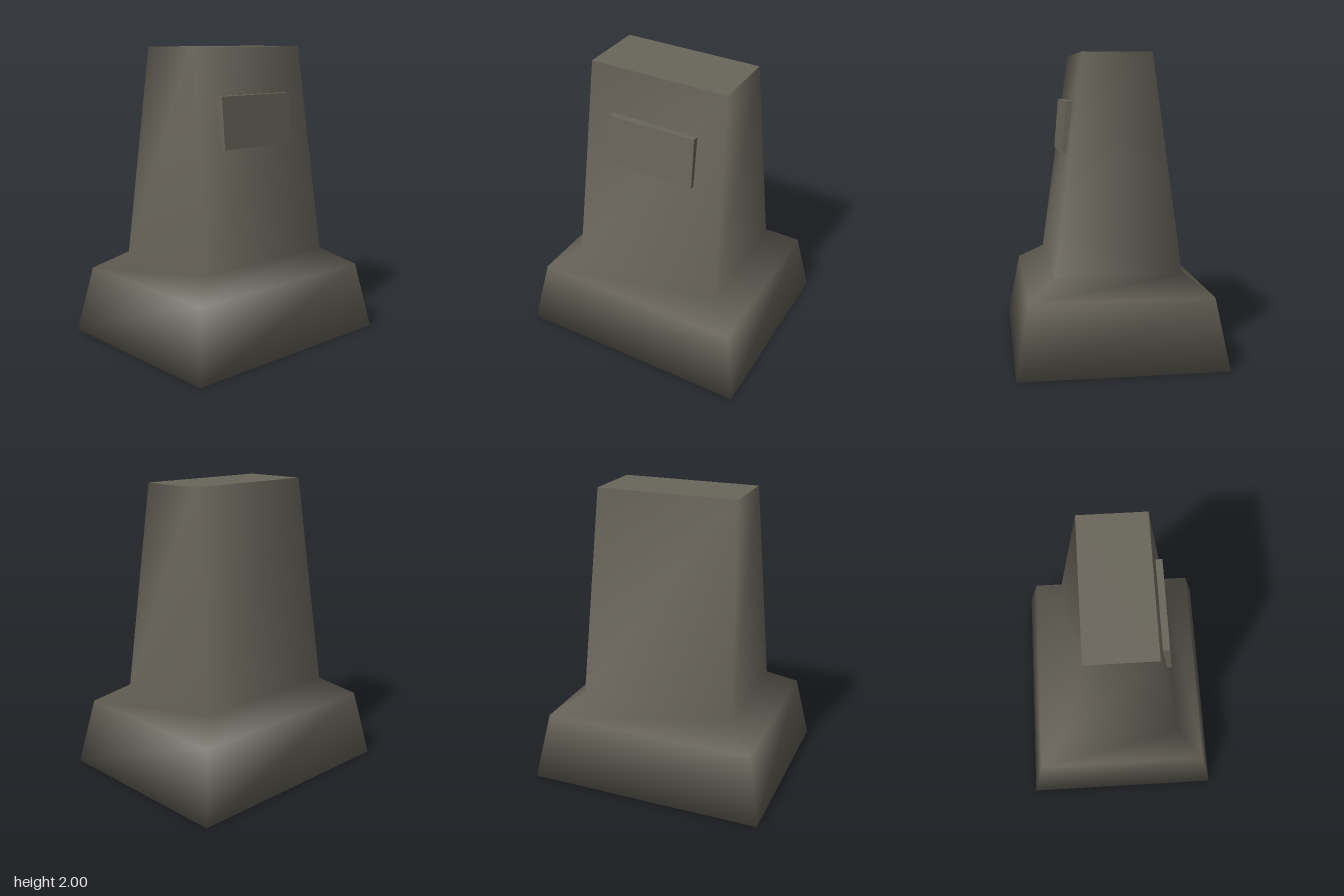
import * as THREE from 'three';

// Skin a stack of four-cornered rings; each ring is [y, halfX, halfZ]
function ringGeometry(rings) {
  const corners = [[1, 1], [1, -1], [-1, -1], [-1, 1]];
  const points = [], index = [];
  const addRing = ([y, hx, hz]) => corners.forEach(([sx, sz]) => points.push(sx * hx, y, sz * hz));
  rings.forEach(addRing);
  for (let r = 0; r < rings.length - 1; r++) {
    for (let i = 0; i < 4; i++) {
      const a = r * 4 + i, b = r * 4 + (i + 1) % 4;
      index.push(a, b, b + 4, a, b + 4, a + 4);
    }
  }
  // underside shares its corners with the walls, so the shading rolls under
  index.push(0, 2, 1, 0, 3, 2);
  // top cap has its own corners, so its rim stays sharp
  const t = points.length / 3;
  addRing(rings[rings.length - 1]);
  index.push(t, t + 1, t + 2, t, t + 2, t + 3);

  const geometry = new THREE.BufferGeometry();
  geometry.setAttribute('position', new THREE.Float32BufferAttribute(points, 3));
  geometry.setIndex(index);
  geometry.computeVertexNormals();
  return geometry;
}

export function createModel() {
  const model = new THREE.Group();
  model.name = 'pedestal';
  const stone = new THREE.MeshStandardMaterial({ color: 0x69655b });
  stone.name = 'dark stone';

  // Flared base, sloping shoulder and tapering pillar in one smooth skin
  const pillar = new THREE.Mesh(ringGeometry([
    [0, 0.675, 0.813],
    [0.46, 0.59, 0.727],
    [0.58, 0.416, 0.537],
    [2, 0.223, 0.48],
  ]), stone);
  pillar.name = 'pillar';
  model.add(pillar);

  // Plaque on the left side: a box sheared to follow the wall
  const outline = new THREE.Shape([
    [0.25, 1.69], [0.295, 1.35], [0.34, 1.35], [0.31, 1.69],
  ].map(([x, y]) => new THREE.Vector2(x, y)));
  const plaqueGeometry = new THREE.ExtrudeGeometry(outline, { depth: 0.614, bevelEnabled: false });
  plaqueGeometry.translate(0, 0, -0.307);
  const plaque = new THREE.Mesh(plaqueGeometry, stone);
  plaque.name = 'plaque';
  model.add(plaque);

  return model;
}
